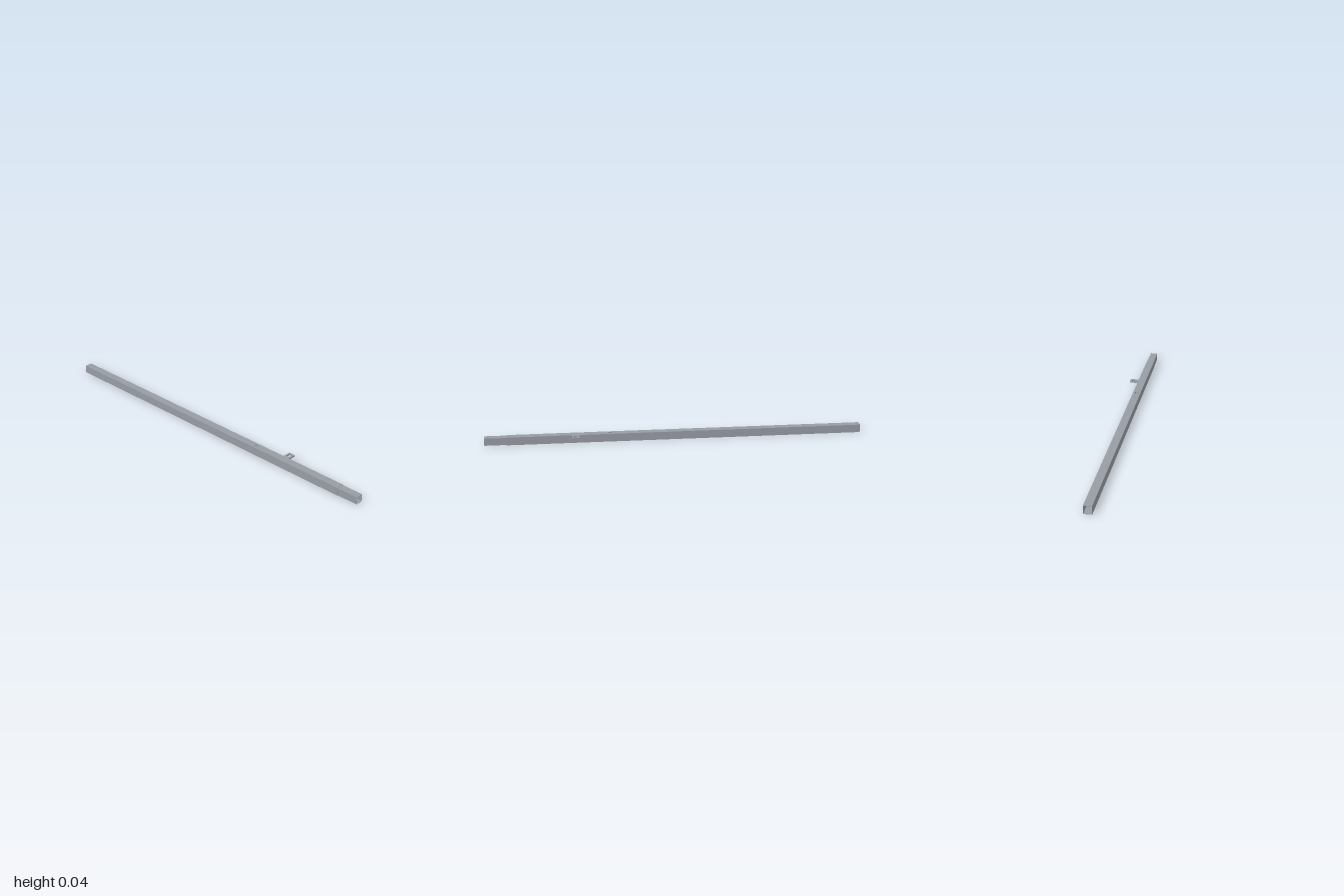
import * as THREE from 'three';

export function createModel() {
  const model = new THREE.Group();
  model.name = 'squareTubeRail';
  const mat = new THREE.MeshStandardMaterial({ color: 0x979da4 }); // blue-grey steel
  const CY = 0.0215, CZ = 0.0235; // tube axis

  const add = (parent, name, geo, x = 0, y = 0, z = 0) => {
    const mesh = new THREE.Mesh(geo, mat);
    mesh.name = name;
    mesh.position.set(x, y, z);
    parent.add(mesh);
  };

  // flat plate in x/z, extruded upward from y = 0
  const plate = (shape, thickness) =>
    new THREE.ExtrudeGeometry(shape, { depth: thickness, bevelEnabled: false, curveSegments: 16 })
      .rotateX(-Math.PI / 2);

  // rectangle with rounded corners, as a Shape or a hole Path
  const roundedRect = (T, x0, x1, y0, y1, r) => {
    const s = new T();
    s.absarc(x1 - r, y0 + r, r, -Math.PI / 2, 0, false);
    s.absarc(x1 - r, y1 - r, r, 0, Math.PI / 2, false);
    s.absarc(x0 + r, y1 - r, r, Math.PI / 2, Math.PI, false);
    s.absarc(x0 + r, y0 + r, r, Math.PI, Math.PI * 1.5, false);
    s.closePath();
    return s;
  };

  // open tube along x, with an optional vertical through hole
  const squareTube = (name, x0, x1, halfY, halfZ, wall, holeX) => {
    const tube = new THREE.Group();
    tube.name = name;
    tube.position.set(0, CY, CZ);
    const face = new THREE.Shape([[x0, -halfZ], [x1, -halfZ], [x1, halfZ], [x0, halfZ]]
      .map(([x, z]) => new THREE.Vector2(x, z)));
    if (holeX !== undefined) {
      face.holes.push(new THREE.Path().absarc(holeX, 0, 0.011, 0, Math.PI * 2, true));
    }
    add(tube, 'topWall', plate(face, wall), 0, halfY - wall, 0);
    add(tube, 'bottomWall', plate(face, wall), 0, -halfY, 0);
    for (const side of [1, -1]) {
      add(tube, side > 0 ? 'frontWall' : 'backWall',
        new THREE.BoxGeometry(x1 - x0, 2 * (halfY - wall), wall),
        (x0 + x1) / 2, 0, side * (halfZ - wall / 2));
    }
    model.add(tube);
  };

  squareTube('mainTube', -1, 0.885, 0.0212, 0.0208, 0.0012, 0.343);
  squareTube('endInsert', 0.79, 1, 0.0194, 0.0194, 0.001);

  // round sleeve inside the tube
  const ring = new THREE.Shape().absarc(0, 0, 0.0183, 0, Math.PI * 2, false);
  ring.holes.push(new THREE.Path().absarc(0, 0, 0.0088, 0, Math.PI * 2, true));
  const sleeve = new THREE.ExtrudeGeometry(ring, { depth: 0.02, bevelEnabled: false, curveSegments: 24 })
    .rotateY(Math.PI / 2);
  add(model, 'innerSleeve', sleeve, 0.8, CY, CZ);

  // slotted tab on the back (shape y becomes -z)
  const tab = roundedRect(THREE.Shape, 0.507, 0.544, -0.003, 0.0435, 0.004);
  tab.holes.push(roundedRect(THREE.Path, 0.516, 0.535, 0.011, 0.035, 0.005));
  add(model, 'backTab', plate(tab, 0.0072), 0, 0.0355, 0);

  return model;
}
